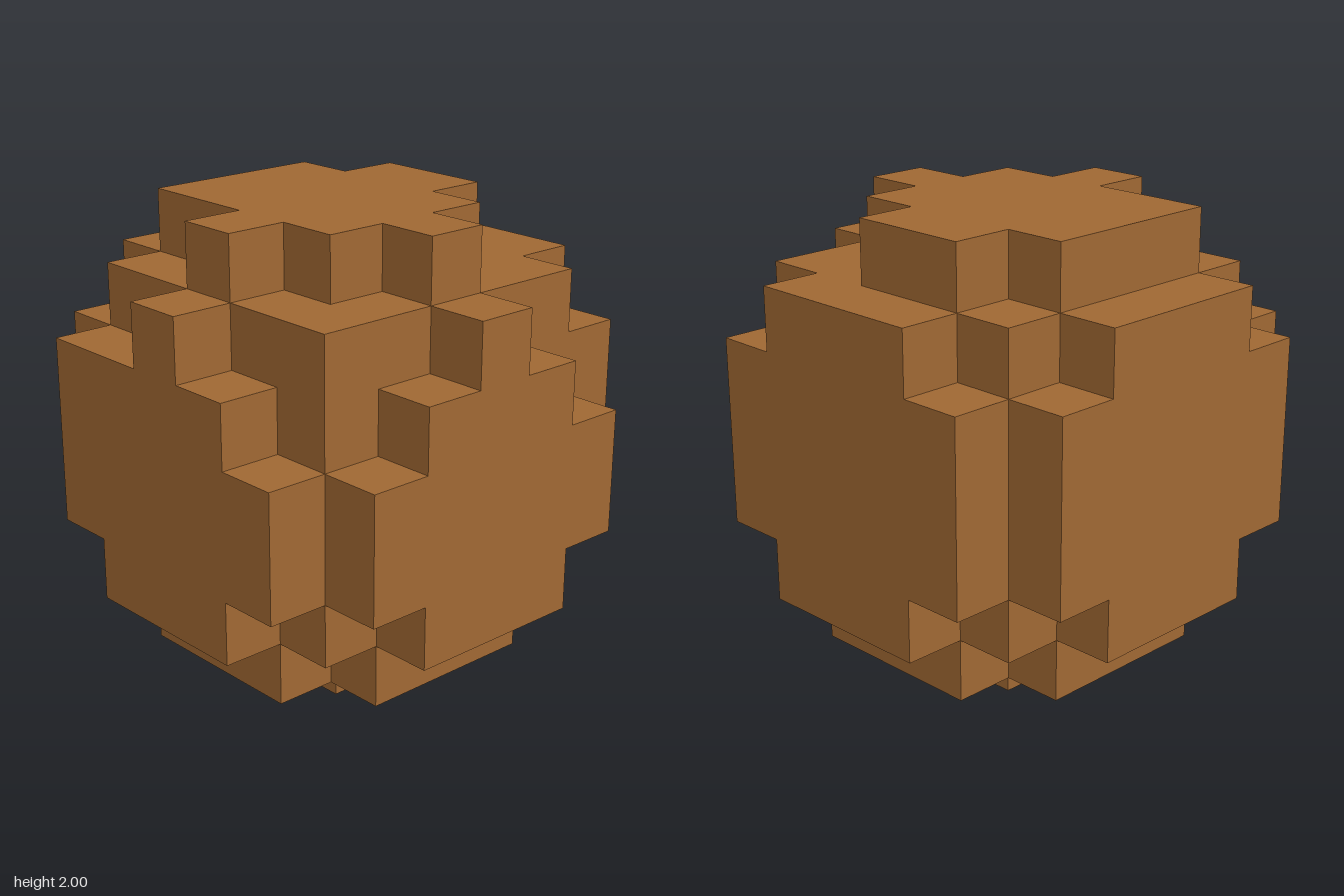
import * as THREE from 'three';

const CELL = 0.25; // edge of one block
const MID_Y = 1.125; // height of the crown's centre

// Stepped slab one block thick: five columns, each from lo[i] to hi[i] (in blocks)
function slabGeometry(lo, hi, offset) {
  const points = [];
  const add = (x, y) => {
    const p = new THREE.Vector2(x * CELL, y * CELL);
    if (!points.length || !points[points.length - 1].equals(p)) points.push(p);
  };
  // along the bottom, then back along the top
  for (let i = 0; i < 5; i++) {
    add(i - 2.5, lo[i]);
    add(i - 1.5, lo[i]);
  }
  for (let i = 4; i >= 0; i--) {
    add(i - 1.5, hi[i]);
    add(i - 2.5, hi[i]);
  }
  const geometry = new THREE.ExtrudeGeometry(new THREE.Shape(points), {
    depth: CELL,
    bevelEnabled: false,
  });
  return geometry.translate(0, 0, offset * CELL);
}

export function createModel() {
  const model = new THREE.Group();
  model.name = 'blockTree';
  const brown = new THREE.MeshStandardMaterial({ color: 0xa06833 });
  brown.name = 'brown';

  const addMesh = (name, geometry, y) => {
    const mesh = new THREE.Mesh(geometry, brown);
    mesh.name = name;
    mesh.position.y = y;
    model.add(mesh);
  };

  // Core of the crown and the short stem
  addMesh('crownCore', new THREE.BoxGeometry(5 * CELL, 5 * CELL, 5 * CELL), MID_Y);
  addMesh('stem', new THREE.BoxGeometry(CELL, CELL, CELL), CELL / 2);

  // Stepped slabs on the six sides of the core
  const cut = [-1.5, -2.5, -2.5, -2.5, -1.5];
  const round = [1.5, 2.5, 2.5, 2.5, 1.5];
  const OUT = 2.5;
  const IN = -3.5;
  const quarter = Math.PI / 2;

  addMesh('frontSlab', slabGeometry(cut, [1.5, 1.5, 2.5, 1.5, 0.5], OUT), MID_Y);
  addMesh('backSlab', slabGeometry(cut, round, IN), MID_Y);
  addMesh('leftSlab', slabGeometry(cut, [0.5, 1.5, 2.5, 1.5, 0.5], OUT).rotateY(quarter), MID_Y);
  addMesh('rightSlab', slabGeometry(cut, round, IN).rotateY(quarter), MID_Y);
  addMesh(
    'topSlab',
    slabGeometry([-1.5, -1.5, -2.5, -1.5, -0.5], [1.5, 2.5, 2.5, 1.5, 0.5], OUT).rotateX(-quarter),
    MID_Y
  );
  addMesh('bottomSlab', slabGeometry(cut, round, IN).rotateX(-quarter), MID_Y);

  return model;
}
